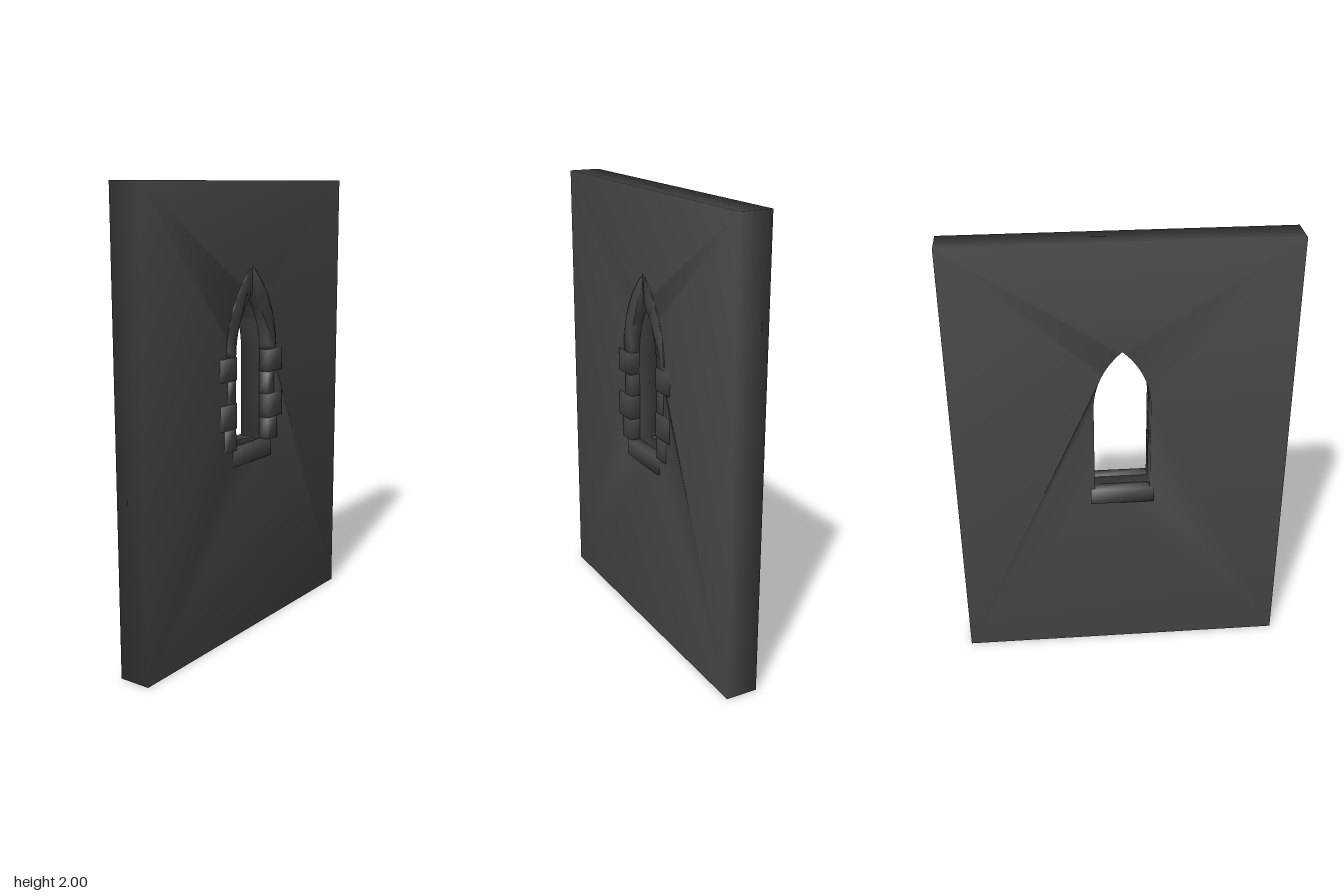
import * as THREE from 'three';
import { mergeVertices } from 'three/addons/utils/BufferGeometryUtils.js';

const SILL_Y = 0.86, SPRING_Y = 1.27;

// Share vertices across all edges so the shading is soft, even round corners
function soften(geometry) {
  geometry.deleteAttribute('normal');
  geometry.deleteAttribute('uv');
  const merged = mergeVertices(geometry, 1e-4);
  merged.clearGroups();
  merged.computeVertexNormals();
  return merged;
}

// Right half of a pointed arch, from the springing point up to the apex
function arcPoints(half, rise, steps = 12) {
  const r = (half * half + rise * rise) / (2 * half);
  const end = Math.asin(rise / r);
  const points = [];
  for (let i = 0; i <= steps; i++) {
    const a = (end * i) / steps;
    points.push(new THREE.Vector2(half - r + r * Math.cos(a), SPRING_Y + r * Math.sin(a)));
  }
  points[steps].x = 0;
  return points;
}

const mirrorX = (points) => points.map((p) => new THREE.Vector2(-p.x, p.y)).reverse();

function extrude(shape, z0, z1) {
  const g = new THREE.ExtrudeGeometry(shape, { depth: z1 - z0, bevelEnabled: false });
  return soften(g.translate(0, 0, z0));
}

function block(x0, x1, y0, y1, z0, z1) {
  const g = new THREE.BoxGeometry(x1 - x0, y1 - y0, z1 - z0);
  return soften(g.translate((x0 + x1) / 2, (y0 + y1) / 2, (z0 + z1) / 2));
}

export function createModel() {
  const group = new THREE.Group();
  group.name = 'wallWithLancetWindow';
  const stone = new THREE.MeshStandardMaterial({ color: 0x484848 });
  stone.name = 'darkStone';

  const add = (name, geometry) => {
    const mesh = new THREE.Mesh(geometry, stone);
    mesh.name = name;
    group.add(mesh);
  };

  // Wall slab with a pointed opening
  const wall = new THREE.Shape([
    new THREE.Vector2(-0.728, 0), new THREE.Vector2(0.728, 0),
    new THREE.Vector2(0.728, 2), new THREE.Vector2(-0.728, 2),
  ]);
  const arc = arcPoints(0.122, 0.262);
  wall.holes.push(new THREE.Path([
    new THREE.Vector2(-0.122, SILL_Y), new THREE.Vector2(0.122, SILL_Y),
    ...arc, ...mirrorX(arc).slice(1),
  ]));
  add('wall', extrude(wall, -0.071, 0.071));

  // Arch surround: two curved stones meeting at the apex
  const half = [...arcPoints(0.185, 0.375), ...arcPoints(0.12, 0.26).reverse()];
  add('archLeft', extrude(new THREE.Shape(half), 0.03, 0.075));
  add('archRight', extrude(new THREE.Shape(mirrorX(half)), 0.03, 0.075));

  // Jamb stones, alternately long and short: outer x, bottom, top, front z
  const stones = [
    [0.2, 0.86, 0.96, 0.075],
    [0.23, 0.96, 1.07, 0.078],
    [0.175, 1.07, 1.17, 0.074],
    [0.23, 1.17, 1.27, 0.078],
  ];
  for (const [x, y0, y1, z] of stones) {
    add('jambStoneLeft', block(0.12, x, y0, y1, 0.03, z));
    add('jambStoneRight', block(-x, -0.12, y0, y1, 0.03, z));
  }

  // Sills on both faces of the wall
  add('frontSill', block(-0.14, 0.14, 0.79, 0.862, 0.03, 0.081));
  add('backSill', block(-0.14, 0.14, 0.79, 0.862, -0.081, -0.03));

  return group;
}
